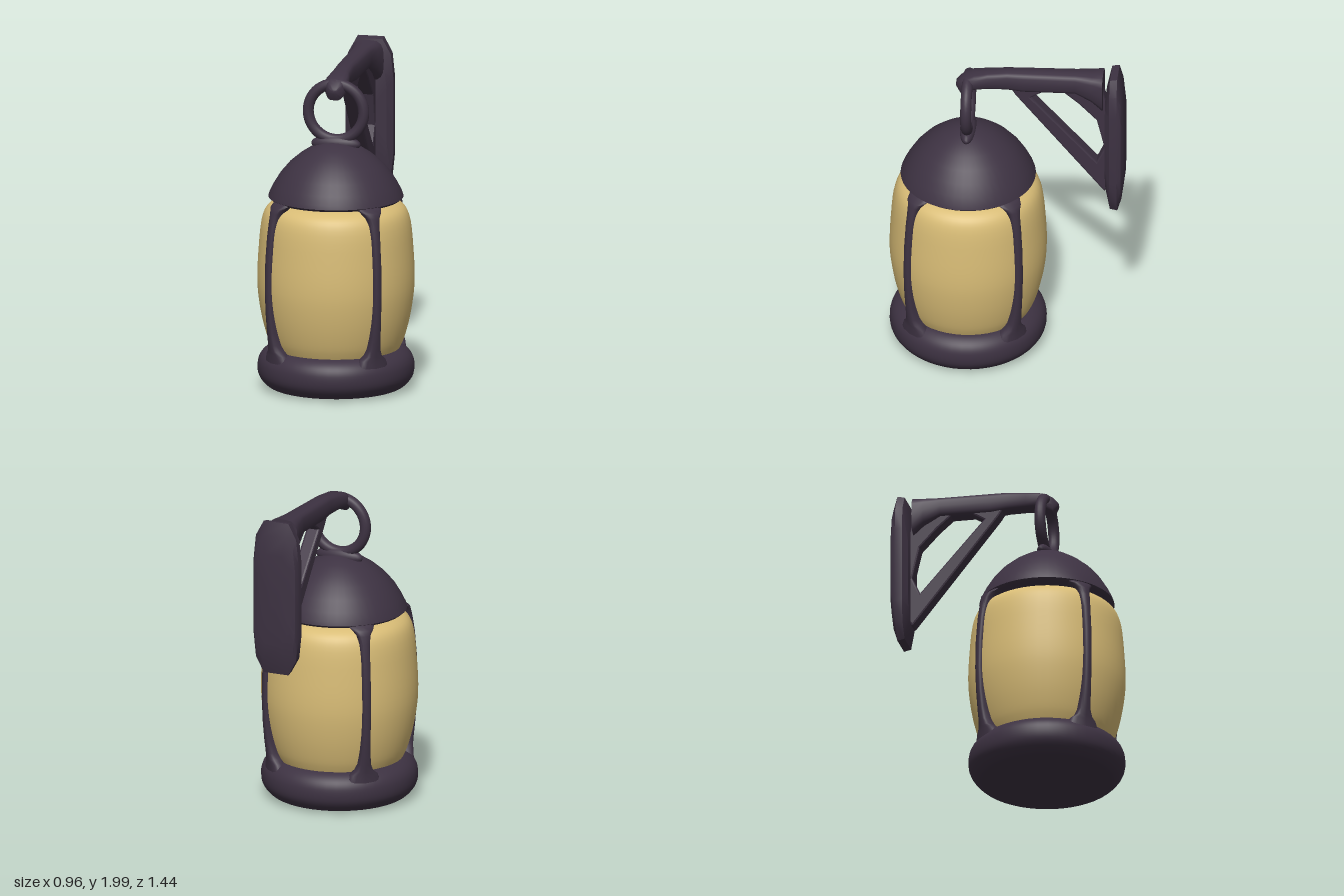
import * as THREE from 'three';
import { mergeVertices, toCreasedNormals } from 'three/addons/utils/BufferGeometryUtils.js';

const CZ = 0.24; // lantern axis

// Closed loft through rings of equal point count, with capped ends
function loft(rings, crease = 0.7) {
  const n = rings[0].length, pos = [], idx = [];
  rings.forEach(r => r.forEach(p => pos.push(...p)));
  for (let i = 0; i < rings.length - 1; i++) {
    for (let j = 0; j < n; j++) {
      const a = i * n + j, b = i * n + (j + 1) % n;
      idx.push(a, b, b + n, a, b + n, a + n);
    }
  }
  [0, rings.length - 1].forEach((r, e) => {
    const c = pos.length / 3;
    pos.push(...[0, 1, 2].map(k => rings[r].reduce((s, p) => s + p[k], 0) / n));
    for (let j = 0; j < n; j++) {
      const a = r * n + j, b = r * n + (j + 1) % n;
      idx.push(...(e ? [c, a, b] : [c, b, a]));
    }
  });
  // Turn every face outwards if the enclosed volume is negative
  const v = i => new THREE.Vector3().fromArray(pos, i * 3);
  let volume = 0;
  for (let i = 0; i < idx.length; i += 3) volume += v(idx[i]).dot(v(idx[i + 1]).cross(v(idx[i + 2])));
  if (volume < 0) idx.reverse();
  const g = new THREE.BufferGeometry();
  g.setAttribute('position', new THREE.Float32BufferAttribute(pos, 3));
  g.setIndex(idx);
  return toCreasedNormals(g, crease);
}

// Smooth surface of revolution through a few profile points
function turned(points, steps = 24) {
  const curve = new THREE.CatmullRomCurve3(points.map(p => new THREE.Vector3(p[0], p[1], 0)), false, 'centripetal');
  const profile = curve.getPoints(steps).map(p => new THREE.Vector2(Math.max(p.x, 0), p.y));
  return new THREE.LatheGeometry(profile, 48);
}

// Rounded-square section point at angle t
function squircle(t, power = 0.6) {
  const f = s => Math.sign(s) * Math.pow(Math.abs(s), power);
  return [f(Math.cos(t)), f(Math.sin(t))];
}

export function createModel() {
  const group = new THREE.Group();
  const iron = new THREE.MeshStandardMaterial({ color: 0x3d3242 });
  iron.name = 'darkIron';
  const amber = new THREE.MeshStandardMaterial({ color: 0xd8bc76 });
  amber.name = 'amberGlass';
  const add = (name, geometry, material, x = 0, y = 0, z = 0) => {
    const mesh = new THREE.Mesh(geometry, material);
    mesh.name = name;
    mesh.position.set(x, y, z);
    group.add(mesh);
    return mesh;
  };

  // Lantern body
  add('glass', turned([[0, 0.2], [0.35, 0.21], [0.4, 0.28], [0.435, 0.38], [0.465, 0.52], [0.48, 0.67],
    [0.472, 0.88], [0.452, 1.06], [0.425, 1.125], [0.38, 1.16], [0.3, 1.18], [0, 1.185]], 40), amber, 0, 0, CZ);
  add('base', turned([[0, 0.01], [0.38, 0.012], [0.425, 0.03], [0.472, 0.09], [0.477, 0.17], [0.455, 0.22],
    [0.41, 0.255], [0.36, 0.265], [0, 0.265]], 36), iron, 0, 0, CZ);
  const dome = new THREE.LatheGeometry([[0, 1.175], [0.3, 1.175], [0.395, 1.185], [0.413, 1.2], [0.405, 1.225], [0.38, 1.275],
    [0.34, 1.34], [0.285, 1.405], [0.22, 1.46], [0.15, 1.505], [0.08, 1.53], [0.04, 1.54], [0, 1.545]]
    .map(p => new THREE.Vector2(...p)), 48);
  add('domeRoof', toCreasedNormals(dome, 0.8), iron, 0, 0, CZ);

  // Four bowed ribs, flared where they join roof and base: [y, outer radius, half width]
  const ribRows = [[0.2, 0.465, 0.12], [0.255, 0.465, 0.095], [0.28, 0.468, 0.06], [0.32, 0.474, 0.042], [0.4, 0.485, 0.034],
    [0.52, 0.496, 0.03], [0.67, 0.502, 0.03], [0.85, 0.498, 0.03], [1.0, 0.485, 0.031], [1.09, 0.47, 0.036],
    [1.14, 0.458, 0.046], [1.17, 0.447, 0.07], [1.19, 0.42, 0.09], [1.22, 0.38, 0.07]];
  const ribGeometry = loft(ribRows.map(([y, ro, hw]) => Array.from({ length: 16 }, (_, j) => {
    const [u, d] = squircle(j / 16 * Math.PI * 2);
    const r = ro - 0.045 + d * 0.045, a = u * hw / ro;
    return [r * Math.sin(a), y, r * Math.cos(a)];
  })), 1);
  for (let i = 0; i < 4; i++) {
    add('rib', ribGeometry, iron, 0, 0, CZ).rotation.y = Math.PI / 4 + i * Math.PI / 2;
  }

  // Hanging ring with small fillets on the roof
  add('hangingRing', new THREE.TorusGeometry(0.174, 0.034, 14, 48), iron, 0, 1.725, CZ);
  const foot = add('ringFoot', new THREE.SphereGeometry(1, 24, 14), iron, 0, 1.525, CZ);
  foot.scale.set(0.155, 0.055, 0.05);

  // Arm along z: [z, half width, bottom, top]
  const armRows = [[0.312, 0.022, 1.85, 1.88], [0.285, 0.048, 1.805, 1.91], [0.25, 0.068, 1.82, 1.932], [0.2, 0.072, 1.845, 1.946],
    [0.12, 0.06, 1.85, 1.96], [0, 0.057, 1.85, 1.975], [-0.1, 0.06, 1.84, 1.978], [-0.42, 0.066, 1.85, 1.985],
    [-0.52, 0.085, 1.8, 1.988], [-0.588, 0.102, 1.74, 1.992]];
  add('arm', loft(armRows.map(([z, hw, b, t]) => Array.from({ length: 16 }, (_, j) => {
    const [u, v] = squircle(j / 16 * Math.PI * 2);
    return [u * hw, (b + t) / 2 + v * (t - b) / 2, z];
  })), 0.9), iron);

  // Diagonal strut and rear post, drawn from the side as one piece with an opening
  const side = pts => pts.map(([z, y]) => new THREE.Vector2(-z, y));
  const bracket = new THREE.Shape(side([[-0.02, 1.87], [-0.05, 1.82], [-0.59, 1.145], [-0.6, 1.14], [-0.64, 1.2], [-0.64, 1.7],
    [-0.58, 1.9], [-0.3, 1.93]]));
  bracket.holes.push(new THREE.Path(side([[-0.15, 1.805], [-0.23, 1.855], [-0.34, 1.86], [-0.44, 1.775], [-0.55, 1.66],
    [-0.597, 1.46], [-0.55, 1.355]])));
  const bracketGeometry = new THREE.ExtrudeGeometry(bracket, {
    depth: 0.06, bevelEnabled: true, bevelSize: 0.012, bevelThickness: 0.014, bevelOffset: -0.012, bevelSegments: 2,
  });
  bracketGeometry.translate(0, 0, -0.03).rotateY(Math.PI / 2);
  add('strutBracket', bracketGeometry, iron);

  // Wall plate: long octagon, bevelled to front and back: [z, half width, half height]
  const outline = [[0.55, 1], [0.9, 0.8], [1, 0.5], [1, -0.5], [0.9, -0.8], [0.55, -1],
    [-0.55, -1], [-0.9, -0.8], [-1, -0.5], [-1, 0.5], [-0.9, 0.8], [-0.55, 1]];
  const plateRows = [[-0.606, 0.115, 0.34], [-0.635, 0.15, 0.475], [-0.68, 0.15, 0.484], [-0.705, 0.138, 0.4], [-0.72, 0.1, 0.28]];
  add('wallPlate', loft(plateRows.map(([z, w, h]) => outline.map(([u, v]) => [u * w, 1.515 + v * h, z])), 0.6), iron);

  group.children.forEach(m => { if (m.name === 'glass') m.geometry = mergeVertices(m.geometry); });
  return group;
}
